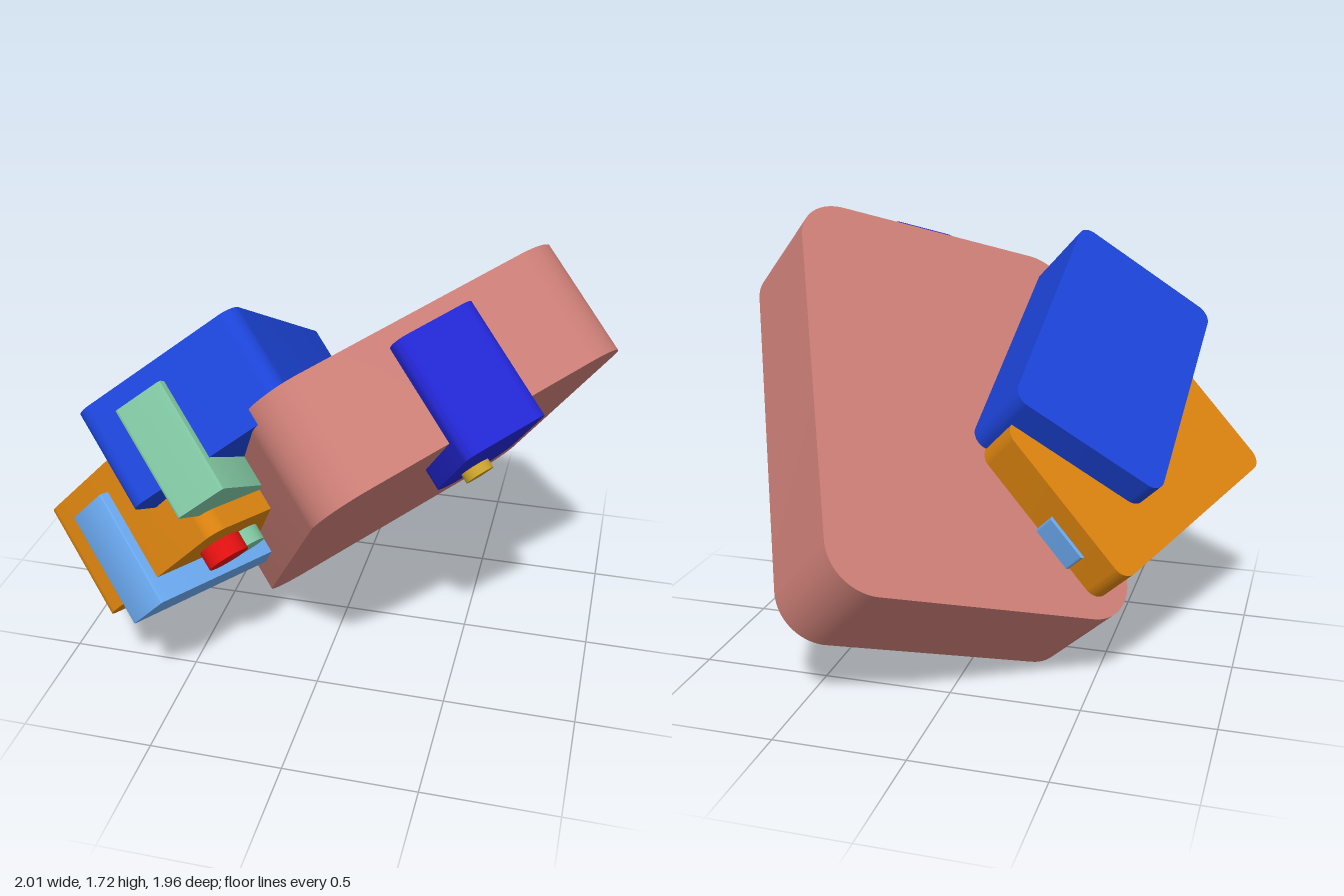
import * as THREE from 'three';
import { toCreasedNormals } from 'three/addons/utils/BufferGeometryUtils.js';

const paint = (color) => new THREE.MeshStandardMaterial({ color });

// Rectangle x0..x1, y0..y1 with separate radii for the top and bottom corners
function roundedRect(x0, y0, x1, y1, top, bottom) {
  const s = new THREE.Shape();
  s.absarc(x0 + bottom, y0 + bottom, bottom, Math.PI, Math.PI * 1.5);
  s.absarc(x1 - bottom, y0 + bottom, bottom, Math.PI * 1.5, Math.PI * 2);
  s.absarc(x1 - top, y1 - top, top, 0, Math.PI / 2);
  s.absarc(x0 + top, y1 - top, top, Math.PI / 2, Math.PI);
  s.closePath();
  return s;
}

// Plate with its outline in the local xy plane, spanning back..front along local z
function plate(name, color, shape, back, front) {
  const flat = new THREE.ExtrudeGeometry(shape, { depth: front - back, bevelEnabled: false, curveSegments: 12 });
  const mesh = new THREE.Mesh(toCreasedNormals(flat, 0.6), paint(color));
  mesh.position.z = back;
  mesh.name = name;
  return mesh;
}

// Round button whose axis is local z
function button(name, color, radius, x, y, back, front) {
  const g = new THREE.CylinderGeometry(radius, radius, front - back, 32).rotateX(Math.PI / 2);
  const mesh = new THREE.Mesh(g, paint(color));
  mesh.position.set(x, y, (back + front) / 2);
  mesh.name = name;
  return mesh;
}

// Sub-assembly turned within the plane of the main slab
function turned(name, x, y, degrees, ...parts) {
  const g = new THREE.Group();
  g.name = name;
  g.position.set(x, y, 0);
  g.rotation.z = THREE.MathUtils.degToRad(degrees);
  g.add(...parts);
  return g;
}

export function createModel() {
  // Everything is stacked along the normal of the tilted main slab
  const tilted = new THREE.Group();
  tilted.name = 'tiltedAssembly';
  const u = new THREE.Vector3(0.71, 0.289, -0.642).normalize();
  const n = u.clone().cross(new THREE.Vector3(0.328, 0.687, 0.649)).normalize();
  const v = n.clone().cross(u);
  tilted.quaternion.setFromRotationMatrix(new THREE.Matrix4().makeBasis(u, v, n));
  tilted.position.set(0.34, 0.713, 0.08);

  // Large slab with its clip and pin
  tilted.add(
    plate('mainSlab', 0xca7d75, roundedRect(-0.63, -0.84, 0.63, 0.84, 0.19, 0.19), -0.44, 0),
    plate('mainClip', 0x2226d2, roundedRect(-0.13, 0.34, 0.19, 0.91, 0.05, 0.155), -0.37, 0.08),
    button('mainPin', 0xc9a02a, 0.055, 0.02, 0.5, 0.06, 0.115),
  );

  // Rear block with its clip
  tilted.add(turned('rearBlockGroup', -0.55, 0.165, 27.5,
    plate('rearBlock', 0x1c44d8, roundedRect(-0.335, -0.525, 0.335, 0.525, 0.06, 0.06), -0.76, -0.38),
    plate('rearClip', 0x7fc4a0, roundedRect(-0.19, -0.05, 0, 0.565, 0.012, 0.09), -0.68, -0.26),
  ));

  // Side block with a through bar and two buttons
  tilted.add(turned('sideBlockGroup', -0.67, -0.17, 53,
    plate('sideBlock', 0xd9820f, roundedRect(-0.355, -0.525, 0.355, 0.525, 0.06, 0.06), -0.63, -0.18),
    plate('sideBar', 0x6aa8ee, roundedRect(-0.195, -0.54, -0.005, 0.565, 0.01, 0.01), -0.54, -0.09),
    button('redButton', 0xe01010, 0.08, 0.137, 0.31, -0.2, -0.11),
    button('greenButton', 0x7fc4a0, 0.075, 0.134, 0.2, -0.2, -0.12),
  ));

  const model = new THREE.Group();
  model.name = 'model';
  model.add(tilted);
  return model;
}
